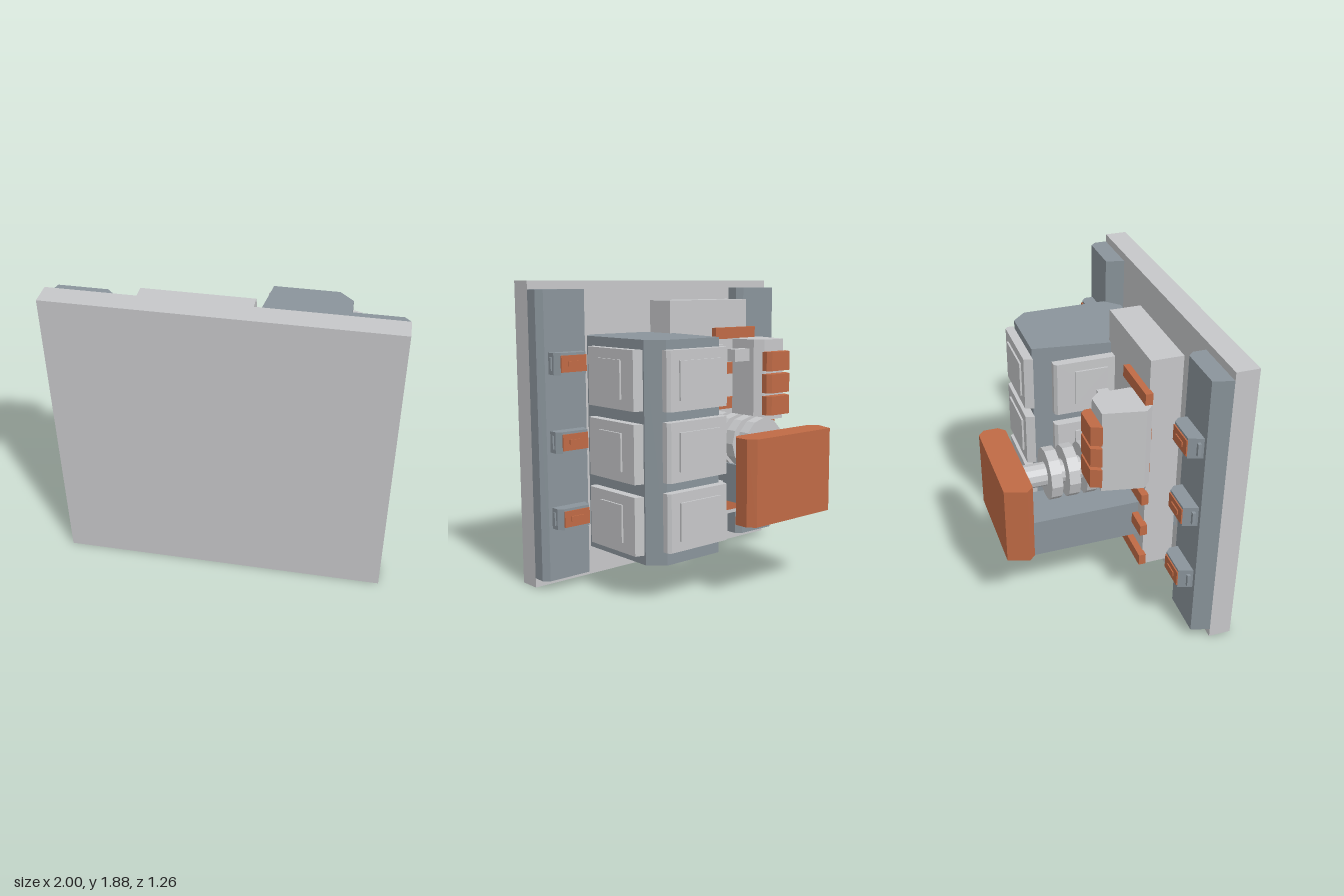
import * as THREE from 'three';

const mat = (name, color) => {
  const m = new THREE.MeshStandardMaterial({ color });
  m.name = name;
  return m;
};

export function createModel() {
  const light = mat('light grey', 0xc6c7c9);
  const slate = mat('slate grey', 0x8a949b);
  const orange = mat('burnt orange', 0xbf6a45);
  const model = new THREE.Group();
  model.name = 'wallMachine';

  const add = (parent, name, geometry, material) => {
    const mesh = new THREE.Mesh(geometry, material);
    mesh.name = name;
    parent.add(mesh);
    return mesh;
  };

  // Plain block between two corners
  const box = (parent, name, material, x0, x1, y0, y1, z0, z1) => {
    const mesh = add(parent, name, new THREE.BoxGeometry(x1 - x0, y1 - y0, z1 - z0), material);
    mesh.position.set((x0 + x1) / 2, (y0 + y1) / 2, (z0 + z1) / 2);
    return mesh;
  };

  // Upright block with its vertical edges cut: b at the back (z0), f at the front (z1)
  const cutBlock = (parent, name, material, x0, x1, y0, y1, z0, z1, b, f = 0) => {
    const pts = [[x0 + b, z0], [x1 - b, z0], [x1, z0 + b], [x1, z1 - f]];
    if (f) pts.push([x1 - f, z1], [x0 + f, z1]);
    pts.push([x0, z1 - f]);
    const shape = new THREE.Shape(pts.map(([x, z]) => new THREE.Vector2(x, -z)));
    const g = new THREE.ExtrudeGeometry(shape, { depth: y1 - y0, bevelEnabled: false });
    g.rotateX(-Math.PI / 2);
    g.translate(0, y0, 0);
    return add(parent, name, g, material);
  };

  // Backing wall
  box(model, 'wallPanel', light, -1, 1, 0, 1.88, 0.49, 0.63);

  // Side rails, each with three clips
  for (const s of [-1, 1]) {
    const rail = new THREE.Group();
    rail.name = s > 0 ? 'leftRail' : 'rightRail';
    rail.position.x = s * 0.82;
    model.add(rail);
    cutBlock(rail, 'railBody', slate, -0.18, 0.18, 0.06, 1.83, 0.375, 0.49, 0.035);
    for (const y of [0.455, 0.925, 1.395]) {
      cutBlock(rail, 'clip', slate, -0.12, 0.12, y - 0.065, y + 0.065, 0.29, 0.375, 0.03);
      box(rail, 'clipFace', orange, -0.09, 0.09, y - 0.05, y + 0.05, 0.282, 0.29);
      box(rail, 'clipLatch', orange, -0.045, 0.045, y - 0.015, y + 0.015, 0.275, 0.282);
      const pin = box(rail, 'clipPin', slate, -0.01, 0.01, y - 0.04, y + 0.04, 0.335, 0.355);
      pin.position.x = s * 0.12;
    }
  }

  // Tall eight-sided cabinet
  cutBlock(model, 'cabinet', slate, 0.08, 0.67, 0.23, 1.55, -0.28, 0.45, 0.09, 0.09);

  // Cabinet doors on the two sides and the back
  const faces = [
    ['leftDoors', 0.67, 0.055, -Math.PI / 2, 0.463, 0.427, 0.105],
    ['rightDoors', 0.08, 0.055, Math.PI / 2, 0.463, 0.427, 0.105],
    ['backDoors', 0.375, -0.28, 0, 0.493, 0.413, 0.155],
  ];
  for (const [name, x, z, turn, firstY, pitch, inset] of faces) {
    const doors = new THREE.Group();
    doors.name = name;
    doors.position.set(x, 0, z);
    doors.rotation.y = turn;
    model.add(doors);
    for (let i = 0; i < 3; i++) {
      const y = firstY + i * pitch;
      cutBlock(doors, 'door', light, -0.235, 0.235, y - 0.176, y + 0.176, -0.056, 0, 0.018);
      box(doors, 'doorInset', light, -inset, inset, y - 0.115, y + 0.115, -0.068, -0.056);
    }
  }

  // Centre column with orange bars
  box(model, 'column', light, -0.54, 0.135, 0.29, 1.755, 0.21, 0.41);
  for (let i = 0; i < 6; i++) {
    const y = 0.365 + i * 0.234;
    box(model, 'columnBar', orange, -0.585, -0.225, y - 0.037, y + 0.037, 0.17, 0.215);
  }

  // Control block with three buttons and a side stub
  cutBlock(model, 'controlBlock', light, -0.64, -0.365, 0.97, 1.5, -0.09, 0.21, 0.05, 0.05);
  for (const y of [1.07, 1.215, 1.36]) {
    cutBlock(model, 'button', orange, -0.61, -0.395, y - 0.062, y + 0.062, -0.155, -0.09, 0.025);
  }
  box(model, 'controlStub', light, -0.38, -0.235, 1.36, 1.44, 0, 0.07);

  // Ribbed arm: shaft and rings
  const cylinder = (name, radius, length, sides, z) => {
    const g = new THREE.CylinderGeometry(radius, radius, length, sides).toNonIndexed();
    g.computeVertexNormals();
    g.rotateX(Math.PI / 2);
    g.rotateZ(Math.PI / 2);
    add(model, name, g, light).position.set(-0.185, 0.87, z);
  };
  cylinder('armShaft', 0.075, 0.95, 12, 0.015);
  for (let i = 0; i < 7; i++) cylinder('armRing', 0.165, 0.07, 12, -0.28 + i * 0.113);

  // Support beam and end plate
  box(model, 'supportBeam', slate, -0.44, -0.14, 0.46, 0.71, -0.47, 0.475);
  cutBlock(model, 'endPlate', orange, -0.48, 0.24, 0.46, 0.98, -0.635, -0.46, 0.042, 0.042);

  return model;
}
